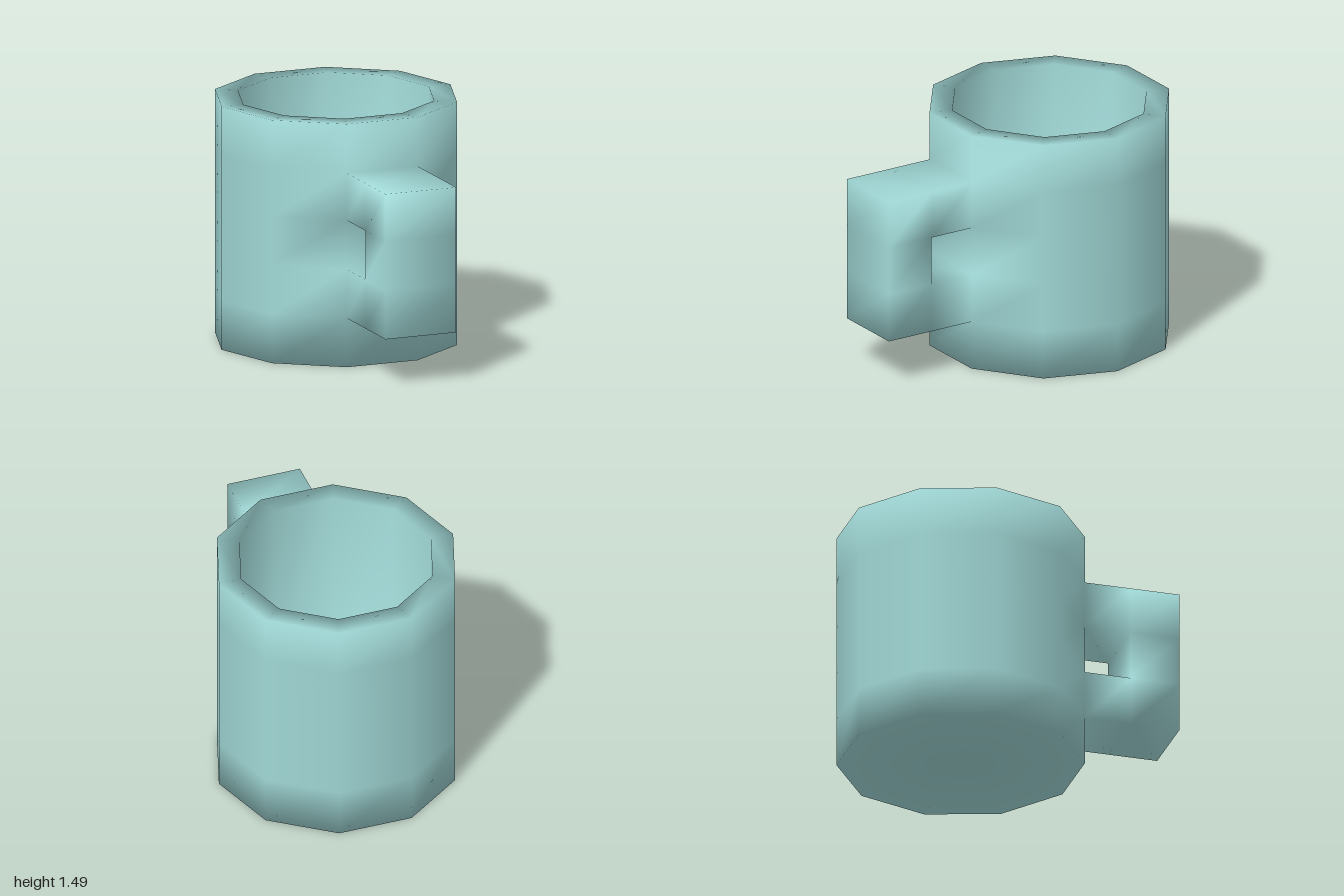
import * as THREE from 'three';
import { mergeVertices } from 'three/addons/utils/BufferGeometryUtils.js';

export function createModel() {
  const group = new THREE.Group();
  const R = 0.741, r = 0.6, cz = -0.295, sides = 10;
  const Y = [0.3, 0.6, 0.9, 1.19]; // heights of the handle's bars
  const pos = [];
  const quad = (a, b, c, d) => pos.push(...a, ...b, ...c, ...a, ...c, ...d);
  const ring = ([rad, y], k) => {
    const a = ((k % sides) / sides) * Math.PI * 2;
    return [rad * Math.cos(a), y, cz + rad * Math.sin(a)];
  };

  // Ten-sided cup: base, outer wall, flat rim, inner wall, floor
  const profile = [[0, 0], [R, 0], ...Y.map((y) => [R, y]), [R, 1.49], [r, 1.49], [r, 0.15], [0, 0.15]];
  for (let i = 0; i < profile.length - 1; i++) {
    const p = profile[i], q = profile[i + 1];
    for (let k = 0; k < sides; k++) {
      // the handle's bars grow out of the front panel here
      if (k === 2 && (i === 2 || i === 4)) continue;
      quad(ring(p, k + 1), ring(p, k), ring(q, k), ring(q, k + 1));
    }
  }

  // Square handle, welded to the front panel
  const [w, , z0] = ring([R, 0], 2);
  const Z = [z0, 0.695, 1];
  const strip = (path) => {
    for (let i = 0; i < path.length - 1; i++) {
      const [az, ay] = path[i], [bz, by] = path[i + 1];
      quad([-w, ay, az], [w, ay, az], [w, by, bz], [-w, by, bz]);
    }
  };
  strip([[Z[0], Y[0]], [Z[1], Y[0]], ...Y.map((y) => [Z[2], y]), [Z[1], Y[3]], [Z[0], Y[3]]]);
  strip([[Z[0], Y[2]], [Z[1], Y[2]], [Z[1], Y[1]], [Z[0], Y[1]]]);
  for (let i = 0; i < 2; i++) {
    for (let j = 0; j < 3; j++) {
      if (i === 0 && j === 1) continue; // finger hole
      const c = [[Y[j], Z[i + 1]], [Y[j], Z[i]], [Y[j + 1], Z[i]], [Y[j + 1], Z[i + 1]]];
      quad(...c.map((v) => [w, ...v]));
      quad(...c.map((v) => [-w, ...v]).reverse());
    }
  }

  // Weld everything so the shading flows smoothly over all edges
  let geometry = new THREE.BufferGeometry();
  geometry.setAttribute('position', new THREE.Float32BufferAttribute(pos, 3));
  geometry = mergeVertices(geometry, 1e-3);
  geometry.computeVertexNormals();

  const mug = new THREE.Mesh(geometry, new THREE.MeshStandardMaterial({ color: 0xa0d8d6 }));
  mug.name = 'mug';
  group.add(mug);
  return group;
}
